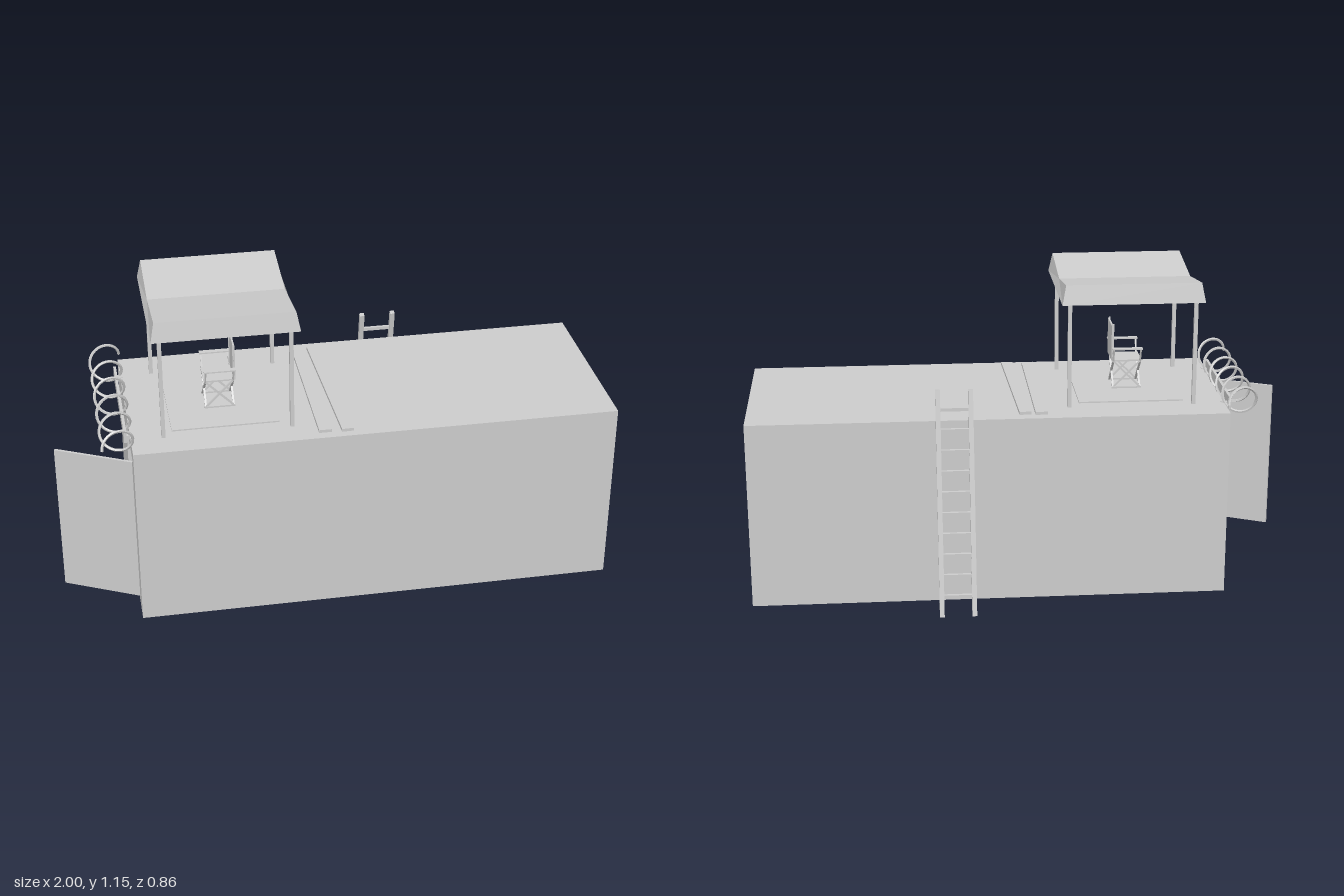
import * as THREE from 'three';

const mat = new THREE.MeshStandardMaterial({ color: 0xcccccc, flatShading: true });
const thin = new THREE.MeshStandardMaterial({ color: 0xcccccc, flatShading: true, side: THREE.DoubleSide });

function add(parent, name, geometry, material = mat) {
  const mesh = new THREE.Mesh(geometry, material);
  mesh.name = name;
  parent.add(mesh);
  return mesh;
}

function group(parent, name) {
  const g = new THREE.Group();
  g.name = name;
  parent.add(g);
  return g;
}

// Box given by its limits on each axis
function box(parent, name, [x0, x1], [y0, y1], [z0, z1]) {
  const mesh = add(parent, name, new THREE.BoxGeometry(x1 - x0, y1 - y0, z1 - z0));
  mesh.position.set((x0 + x1) / 2, (y0 + y1) / 2, (z0 + z1) / 2);
  return mesh;
}

// Square bar between two points
function bar(parent, name, a, b, w, d = w) {
  const p = new THREE.Vector3(...a), q = new THREE.Vector3(...b);
  const dir = q.clone().sub(p);
  const mesh = add(parent, name, new THREE.BoxGeometry(w, dir.length(), d));
  mesh.position.copy(p).add(q).multiplyScalar(0.5);
  mesh.quaternion.setFromUnitVectors(new THREE.Vector3(0, 1, 0), dir.normalize());
  return mesh;
}

// Rectangular frame in the z-y plane, extruded along x; limits are [z0, z1, y0, y1]
function frame(outer, hole, x0, x1) {
  const trace = (path, [z0, z1, y0, y1]) =>
    path.moveTo(-z0, y0).lineTo(-z0, y1).lineTo(-z1, y1).lineTo(-z1, y0).closePath();
  const shape = trace(new THREE.Shape(), outer);
  shape.holes.push(trace(new THREE.Path(), hole));
  return new THREE.ExtrudeGeometry(shape, { depth: x1 - x0, bevelEnabled: false })
    .rotateY(Math.PI / 2).translate(x0, 0, 0);
}

// Flat polygons, each fanned into triangles
function panels(polygons) {
  const pos = [];
  for (const p of polygons)
    for (let i = 1; i < p.length - 1; i++) pos.push(...p[0], ...p[i], ...p[i + 1]);
  const g = new THREE.BufferGeometry();
  g.setAttribute('position', new THREE.Float32BufferAttribute(pos, 3));
  g.computeVertexNormals();
  return g;
}

function buildContainer(root) {
  const g = group(root, 'container');
  const outer = [-0.275, 0.42, 0.03, 0.698];
  add(g, 'shell', frame(outer, [-0.22, 0.37, 0.065, 0.638], -0.715, 1));
  add(g, 'doorWall', frame(outer, [0.075, 0.37, 0.065, 0.638], -0.735, -0.715));
  // Low rim around the recessed underside
  const rimY = [0.005, 0.03], rimX = [-0.735, 1];
  box(g, 'bottomRim', rimX, rimY, [-0.275, -0.271]);
  box(g, 'bottomRim', rimX, rimY, [0.416, 0.42]);
  for (const x of [-0.735, 0.996]) box(g, 'bottomRim', [x, x + 0.004], rimY, [-0.271, 0.416]);
  // Door leaf swung outwards on its front edge
  const door = add(g, 'openDoor', new THREE.BoxGeometry(0.294, 0.57, 0.01));
  door.position.set(-0.867, 0.352, 0.298);
  door.rotation.y = -Math.atan2(0.13, 0.264);
}

function buildCanopy(root) {
  const g = group(root, 'canopy');
  for (const x of [-0.62, -0.165])
    for (const z of [0.317, -0.152]) bar(g, 'post', [x, 0.695, z], [x, 1.13, z], 0.014);
  const [x0, x1, z0, z1, yb, yt] = [-0.65, -0.135, -0.179, 0.346, 1.084, 1.155];
  const [a, b, c, d] = [x0 + 0.014, x1 - 0.014, z0 + 0.014, z1 - 0.014];
  const vy = 1.118, vz = 0.08;
  // Two sloping sheets, the rear one running on below the front one
  add(g, 'roofSheets', panels([
    [[a, yt, d], [b, yt, d], [b, vy, vz], [a, vy, vz]],
    [[a, 1.1, 0.2], [b, 1.1, 0.2], [b, yt, c], [a, yt, c]],
  ]), thin);
  const side = (xb, xt) =>
    [[xt, vy, vz], [xt, yt, d], [xb, yb, z1], [xb, yb, z0], [xt, yt, c]];
  add(g, 'valance', panels([
    [[x0, yb, z1], [x1, yb, z1], [b, yt, d], [a, yt, d]],
    [[x1, yb, z0], [x0, yb, z0], [a, yt, c], [b, yt, c]],
    side(x0, a), side(x1, b),
  ]), thin);
}

function buildChair(root) {
  const g = group(root, 'foldingChair');
  const [x0, x1, z0, z1] = [-0.45, -0.35, 0.042, 0.15];
  box(g, 'seat', [x0 - 0.005, x1 + 0.005], [0.806, 0.812], [z0, z1]);
  box(g, 'backrest', [-0.348, -0.342], [0.812, 0.945], [z0 - 0.002, z1 + 0.004]);
  // Crossed legs, front and back
  for (const x of [x0, x1]) {
    bar(g, 'crossLeg', [x, 0.705, z0], [x, 0.808, z1], 0.007);
    bar(g, 'crossLeg', [x, 0.705, z1], [x, 0.808, z0], 0.007);
  }
  // Side braces with arm rests
  for (const [z, out] of [[z0, -1], [z1, 1]]) {
    const arm = z + out * 0.02;
    bar(g, 'foot', [x0 - 0.005, 0.705, z], [x1 + 0.005, 0.705, z], 0.008);
    bar(g, 'sideBrace', [x0, 0.707, z], [x1, 0.808, z], 0.006);
    bar(g, 'sideBrace', [x1, 0.707, z], [x0, 0.808, z], 0.006);
    for (const x of [x0, x1]) bar(g, 'armSupport', [x, 0.808, z], [x, 0.86, arm], 0.006);
    box(g, 'armRest', [x0 - 0.006, x1 + 0.008], [0.858, 0.863], [arm - 0.01, arm + 0.01]);
    bar(g, 'backPost', [-0.348, 0.81, z], [-0.348, 0.95, z], 0.006);
  }
}

function buildLadder(root) {
  const g = group(root, 'ladder');
  const foot = [0.003, -0.417], top = [0.81, -0.264];
  for (const x of [0.199, 0.316])
    bar(g, 'rail', [x, ...foot], [x, ...top], 0.017, 0.019);
  for (let i = 0; i < 10; i++) {
    const t = 0.09 + i * 0.0916;
    const y = THREE.MathUtils.lerp(foot[0], top[0], t);
    const z = THREE.MathUtils.lerp(foot[1], top[1], t);
    bar(g, 'rung', [0.2, y, z], [0.315, y, z], 0.012);
  }
}

// Coil of wire hanging over the door end
function buildWire(root) {
  const g = group(root, 'wireBarrier');
  const turns = 5.5, pts = [];
  for (let i = 0; i <= turns * 16; i++) {
    const t = i / 16, a = Math.PI - t * Math.PI * 2;
    pts.push(new THREE.Vector3(-0.785 + 0.056 * Math.cos(a), 0.726 + 0.056 * Math.sin(a), 0.425 - t * 0.126));
  }
  add(g, 'wireCoil', new THREE.TubeGeometry(new THREE.CatmullRomCurve3(pts), 176, 0.0055, 5), thin);
  box(g, 'wirePlate', [-0.757, -0.747], [0.68, 0.727], [-0.17, 0.305]);
  for (const z of [-0.14, 0.28]) box(g, 'plateBracket', [-0.75, -0.725], [0.685, 0.7], [z - 0.01, z + 0.01]);
}

export function createModel() {
  const root = new THREE.Group();
  root.name = 'containerOutpost';
  buildContainer(root);
  buildCanopy(root);
  buildChair(root);
  buildLadder(root);
  buildWire(root);
  // Mat under the chair and two loose planks
  box(root, 'mat', [-0.588, -0.205], [0.695, 0.703], [-0.115, 0.285]);
  box(root, 'plank', [-0.08, -0.035], [0.695, 0.709], [-0.235, 0.385]);
  box(root, 'plank', [-0.01, 0.033], [0.695, 0.709], [-0.23, 0.39]).rotation.y = 0.035;
  return root;
}
